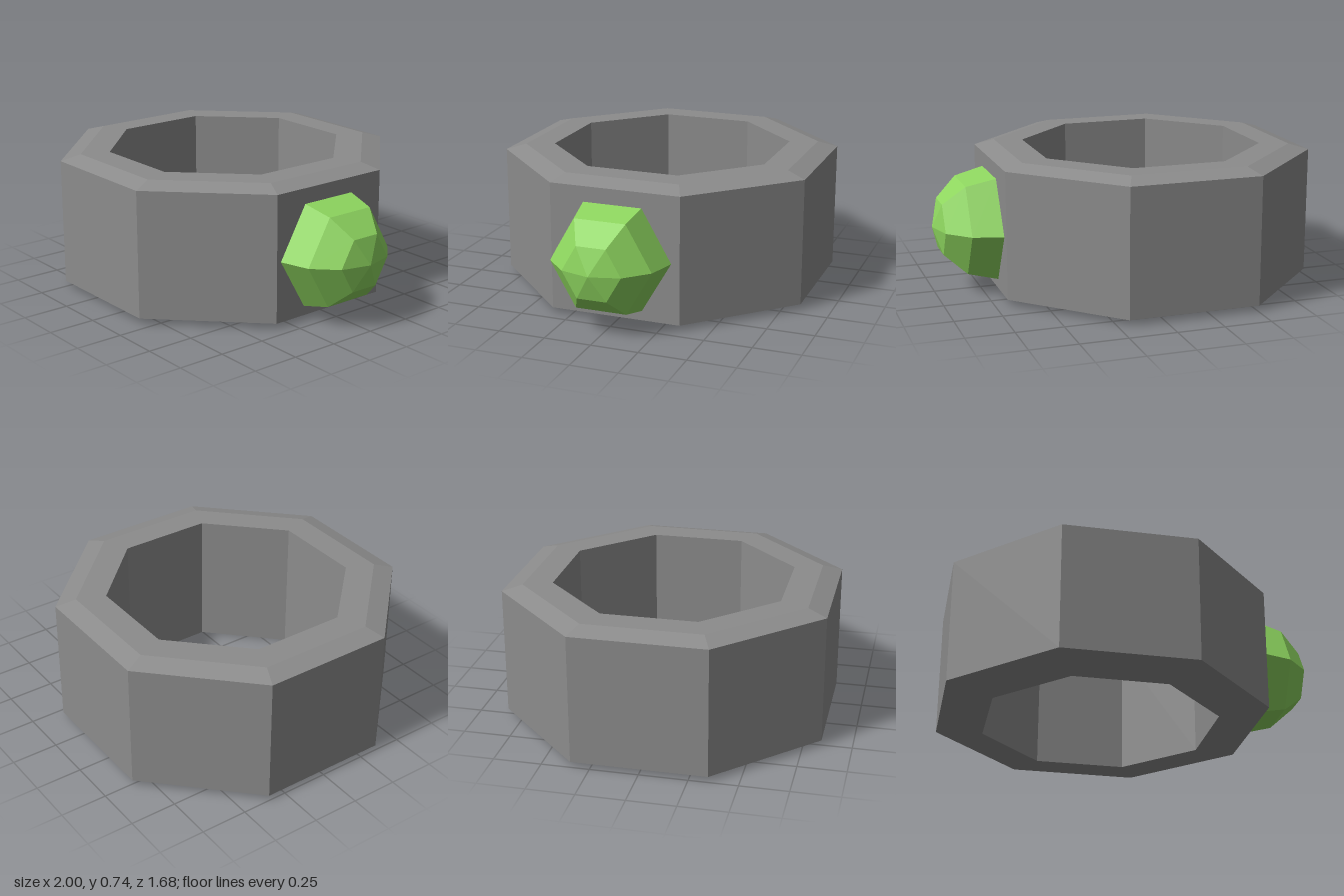
import * as THREE from 'three';

export function createModel() {
  const model = new THREE.Group();
  const mat = (name, color) => {
    const m = new THREE.MeshStandardMaterial({ color, flatShading: true });
    m.name = name;
    return m;
  };
  const metal = mat('grey metal', 0x8c8c8c);
  const green = mat('green gem', 0x8ed65f);

  // Octagonal band with bevelled outer edges; radii are given across the flats
  const toCorner = 1 / Math.cos(Math.PI / 8);
  const profile = [
    [0.597, 0], [0.742, 0], [0.842, 0.03], [0.842, 0.707],
    [0.742, 0.737], [0.597, 0.737], [0.597, 0],
  ].map(([r, y]) => new THREE.Vector2(r * toCorner, y));
  const band = new THREE.Mesh(new THREE.LatheGeometry(profile, 8, Math.PI / 8), metal);
  band.name = 'band';
  band.position.x = -0.157;
  model.add(band);

  // Six-sided domed gem set against the band's left face
  const dome = new THREE.SphereGeometry(0.314, 6, 3, Math.PI / 2, Math.PI * 2, 0, Math.PI / 2);
  dome.rotateZ(-Math.PI / 2);
  const gem = new THREE.Mesh(dome, green);
  gem.name = 'gem';
  gem.position.set(0.685, 0.353, 0.01);
  model.add(gem);

  return model;
}
